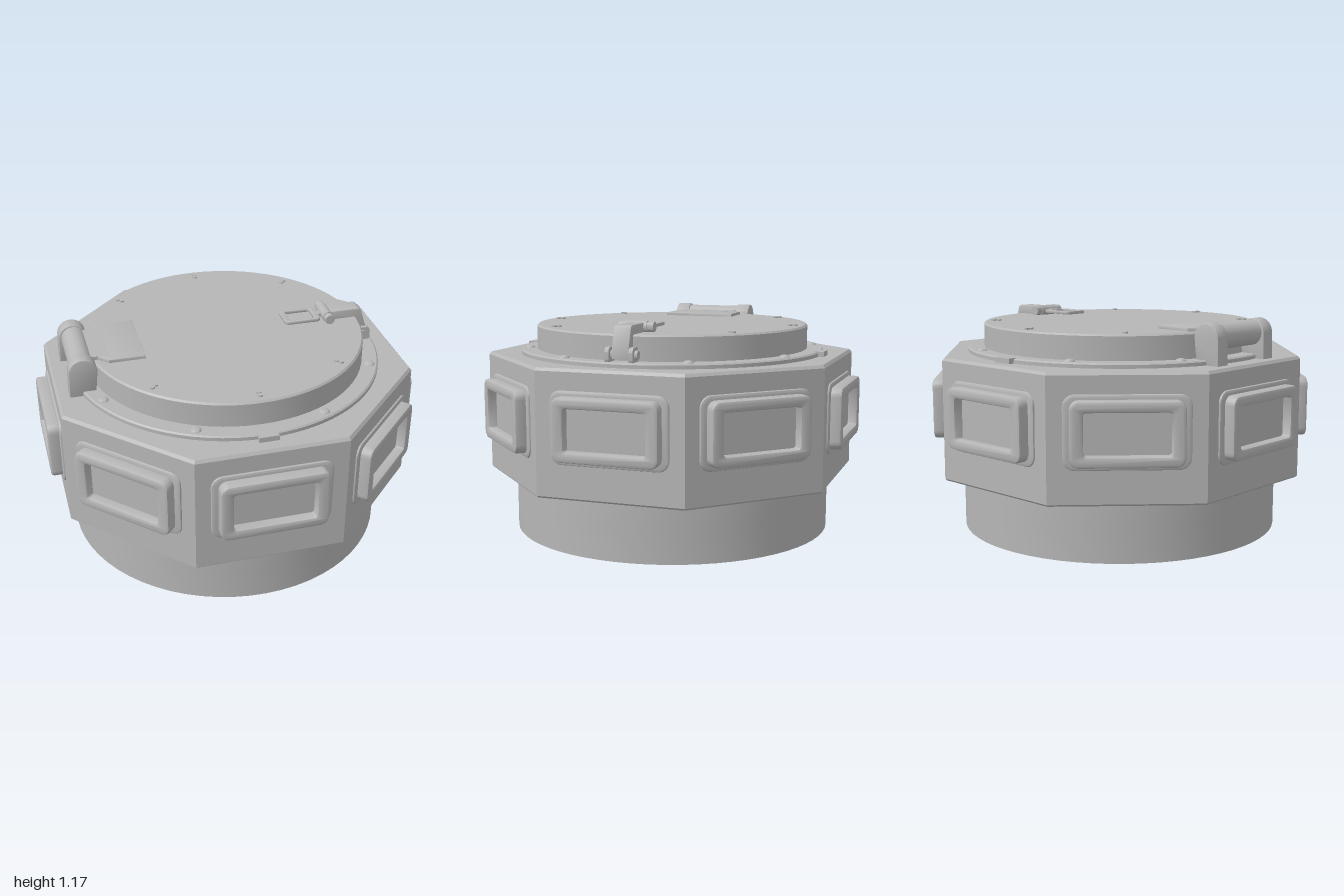
import * as THREE from 'three';
import { toCreasedNormals } from 'three/addons/utils/BufferGeometryUtils.js';

const metal = new THREE.MeshStandardMaterial({ color: 0xb6b6b6 });
metal.name = 'grey metal';

function add(parent, name, geometry, x = 0, y = 0, z = 0) {
  const mesh = new THREE.Mesh(toCreasedNormals(geometry, 0.6), metal);
  mesh.name = name;
  mesh.position.set(x, y, z);
  parent.add(mesh);
  return mesh;
}

// Rounded rectangle outline, centred on (cx, cy)
function roundedRect(w, h, r, Type = THREE.Shape, cx = 0, cy = 0) {
  const s = new Type(), a = w / 2 - r, b = h / 2 - r;
  s.absarc(cx + a, cy + b, r, 0, Math.PI / 2);
  s.absarc(cx - a, cy + b, r, Math.PI / 2, Math.PI);
  s.absarc(cx - a, cy - b, r, Math.PI, Math.PI * 1.5);
  s.absarc(cx + a, cy - b, r, Math.PI * 1.5, Math.PI * 2);
  s.closePath();
  return s;
}

function extrude(shape, depth, bevel = 0, curveSegments = 6) {
  return new THREE.ExtrudeGeometry(shape, {
    depth: depth - 2 * bevel, curveSegments, bevelEnabled: bevel > 0,
    bevelSize: bevel, bevelThickness: bevel, bevelOffset: -bevel, bevelSegments: 2,
  }).translate(0, 0, bevel);
}

const lathe = (pts, segments, start = 0) =>
  new THREE.LatheGeometry(pts.map(p => new THREE.Vector2(...p)), segments, start);

function buildBase(model) {
  // Drum underside with four radial pockets and a centre hole
  const disc = new THREE.Shape().absarc(0, 0, 0.865, 0, Math.PI * 2);
  disc.holes.push(new THREE.Path().absarc(0, 0, 0.08, 0, Math.PI * 2, true));
  for (let i = 0; i < 4; i++) {
    const pocket = roundedRect(0.28, 0.26, 0.05, THREE.Path, 0.56, 0);
    const turn = Math.PI / 4 + i * Math.PI / 2;
    disc.holes.push(new THREE.Path(pocket.getPoints(6).map(
      p => p.rotateAround(new THREE.Vector2(), turn))));
  }
  add(model, 'drumBase', extrude(disc, 0.18, 0, 32).rotateX(-Math.PI / 2));
  add(model, 'drumUpper', new THREE.CylinderGeometry(0.865, 0.865, 0.14, 64), 0, 0.25, 0);
}

function buildBody(model) {
  // Eight-sided housing with softened edges
  const k = 1 / Math.cos(Math.PI / 8);
  const profile = [[0, 0.31], [0.922, 0.31], [0.932, 0.32], [0.93, 0.945], [0.918, 0.96], [0, 0.96]];
  add(model, 'octagonBody', lathe(profile.map(([r, y]) => [r * k, y]), 8, Math.PI / 8));

  // One window on every face
  const frame = roundedRect(0.55, 0.32, 0.045);
  frame.holes.push(roundedRect(0.42, 0.21, 0.015, THREE.Path));
  const pad = extrude(roundedRect(0.62, 0.37, 0.06), 0.03, 0.014);
  const rim = extrude(frame, 0.09, 0.014);
  for (let i = 0; i < 8; i++) {
    const win = new THREE.Group();
    win.name = 'window';
    win.position.y = 0.67;
    win.rotation.y = i * Math.PI / 4;
    add(win, 'windowPad', pad, 0, 0, 0.912);
    add(win, 'windowFrame', rim, 0, 0, 0.91);
    add(win, 'windowPane', new THREE.BoxGeometry(0.43, 0.22, 0.008), 0, 0, 0.945);
    model.add(win);
  }
}

function buildLid(model) {
  add(model, 'ringFlange', lathe([[0, 0.95], [0.828, 0.95], [0.828, 0.978], [0.82, 0.985], [0, 0.985]], 72));
  add(model, 'lid', lathe([[0, 0.97], [0.74, 0.97], [0.74, 1.106], [0.731, 1.115], [0, 1.115]], 72));
  for (const s of [1, -1]) {
    add(model, 'flangeTab', new THREE.BoxGeometry(0.1, 0.03, 0.05), 0, 0.972, s * 0.832);
  }
  // Domed rivets round the flange
  const rivet = new THREE.SphereGeometry(0.028, 14, 5, 0, Math.PI * 2, 0, Math.PI / 2).scale(1, 0.5, 1);
  for (const [x, z] of [[0.325, 0.71], [0.71, 0.328]]) {
    for (const sx of [1, -1]) for (const sz of [1, -1]) add(model, 'rivet', rivet, sx * x, 0.984, sz * z);
  }
  // Small paired fasteners on the lid
  for (let i = 0; i < 8; i++) {
    if (i === 0 || i === 4) continue; // hinge and latch sit here
    const a = i * Math.PI / 4;
    const fastener = new THREE.Group();
    fastener.name = 'lidFastener';
    fastener.position.set(Math.cos(a) * 0.675, 1.115, Math.sin(a) * 0.675);
    fastener.rotation.y = -a;
    for (const s of [1, -1]) {
      add(fastener, 'fastenerPin', new THREE.CylinderGeometry(0.013, 0.013, 0.01, 10), s * 0.014, 0.003, 0);
    }
    add(fastener, 'fastenerBar', new THREE.BoxGeometry(0.03, 0.006, 0.012), 0, 0.003, 0);
    model.add(fastener);
  }
}

function buildHinge(model) {
  const hinge = new THREE.Group();
  hinge.name = 'hinge';
  // Round-topped end knuckles
  const side = new THREE.Shape();
  side.moveTo(-0.865, 0.955);
  side.lineTo(-0.73, 0.955);
  side.lineTo(-0.715, 1.09);
  side.absarc(-0.788, 1.092, 0.073, 0, Math.PI, false);
  side.closePath();
  for (const [z, d] of [[-0.235, 0.08], [0.145, 0.08]]) {
    add(hinge, 'hingeKnuckle', extrude(side, d, 0.006, 14), 0, 0, z);
  }
  add(hinge, 'hingeBarrel', new THREE.CylinderGeometry(0.064, 0.064, 0.32, 24).rotateX(Math.PI / 2), -0.785, 1.093, -0.005);
  add(hinge, 'hingeArm', new THREE.BoxGeometry(0.14, 0.045, 0.3), -0.71, 1.11, -0.005);
  // Leaf with clipped corners near the barrel
  const leaf = new THREE.Shape([[-0.7, -0.15], [-0.65, -0.2], [-0.46, -0.2], [-0.46, 0.2], [-0.65, 0.2], [-0.7, 0.15]]
    .map(p => new THREE.Vector2(...p)));
  add(hinge, 'hingeLeaf', extrude(leaf, 0.03, 0.004).rotateX(-Math.PI / 2), 0, 1.102, -0.005);
  model.add(hinge);
}

function buildLatch(model) {
  const latch = new THREE.Group();
  latch.name = 'latch';
  const rod = (name, r, len, x, y) =>
    add(latch, name, new THREE.CylinderGeometry(r, r, len, 16).rotateX(Math.PI / 2), x, y, -0.01);

  // Pull ring
  const ring = roundedRect(0.2, 0.145, 0.025);
  ring.holes.push(roundedRect(0.135, 0.1, 0.012, THREE.Path));
  add(latch, 'pullRing', extrude(ring, 0.018, 0.004).rotateX(-Math.PI / 2), 0.425, 1.13, -0.005);
  add(latch, 'ringLink', new THREE.BoxGeometry(0.06, 0.018, 0.04), 0.545, 1.139, -0.005);

  // Strap bent over the lid edge
  const strap = new THREE.Shape([[0.555, 1.11], [0.555, 1.155], [0.58, 1.162], [0.75, 1.162], [0.765, 1.15],
    [0.8, 1.04], [0.8, 1.0], [0.735, 1.0], [0.735, 1.11]].map(p => new THREE.Vector2(...p)));
  add(latch, 'latchStrap', extrude(strap, 0.09, 0.005), 0, 0, -0.055);
  rod('latchPin', 0.026, 0.19, 0.57, 1.14);
  rod('latchPinCollar', 0.03, 0.12, 0.57, 1.14);

  // Lower fork on the flange
  for (const z of [-0.08, 0.045]) {
    add(latch, 'latchLug', extrude(roundedRect(0.08, 0.085, 0.025), 0.022), 0.772, 1.015, z);
  }
  rod('lowerPin', 0.022, 0.17, 0.77, 1.02);
  model.add(latch);
}

export function createModel() {
  const model = new THREE.Group();
  model.name = 'hatchTurret';
  buildBase(model);
  buildBody(model);
  buildLid(model);
  buildHinge(model);
  buildLatch(model);
  return model;
}
